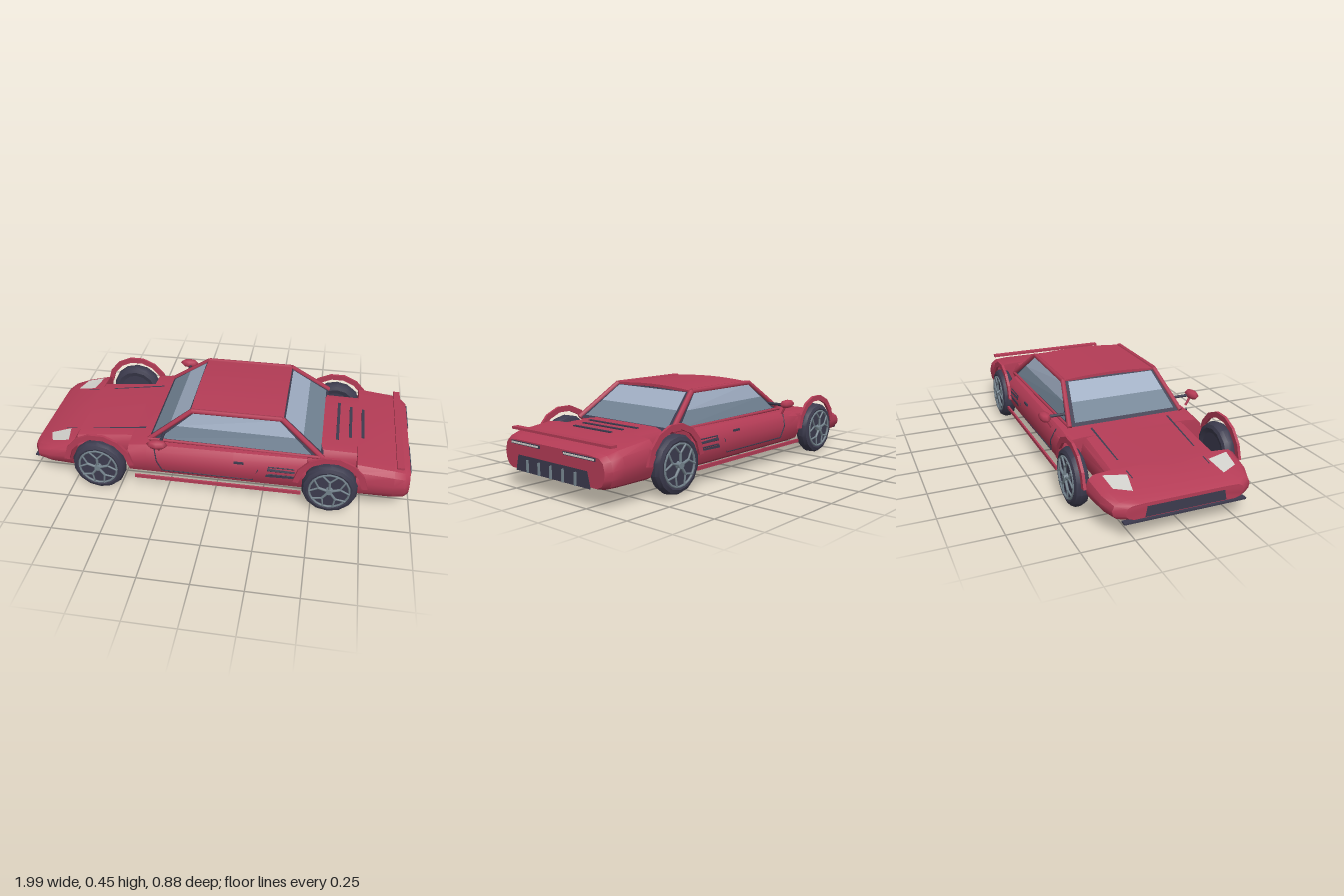
import * as THREE from 'three';
import { toCreasedNormals } from 'three/addons/utils/BufferGeometryUtils.js';

const V = (x, y, z) => new THREE.Vector3(x, y, z);

export function createModel() {
  const car = new THREE.Group();
  car.name = 'car';
  const mat = (name, color, side = THREE.DoubleSide) =>
    Object.assign(new THREE.MeshStandardMaterial({ color, side }), { name });
  const red = mat('red paint', 0xb43c56);
  const dark = mat('dark trim', 0x3c3b4e);
  const glassLight = mat('upper glass', 0x9fadc2);
  const glassDark = mat('lower glass', 0x728394);
  const metal = mat('wheel metal', 0x75848e);
  const lamp = mat('lamp', 0xd2d1cc);

  const add = (name, geo, material, parent = car) => {
    const mesh = new THREE.Mesh(geo, material);
    mesh.name = name;
    parent.add(mesh);
    return mesh;
  };
  const box = (name, w, h, d, x, y, z, m, parent) =>
    add(name, new THREE.BoxGeometry(w, h, d).translate(x, y, z), m, parent);
  const rod = (name, a, b, r, m, parent, sides = 6) => {
    const d = b.clone().sub(a);
    const mesh = add(name, new THREE.CylinderGeometry(r, r, d.length(), sides), m, parent);
    mesh.position.copy(a).addScaledVector(d, 0.5);
    mesh.quaternion.setFromUnitVectors(V(0, 1, 0), d.normalize());
    return mesh;
  };
  const quad = (name, p, m) => {
    const geo = new THREE.BufferGeometry().setFromPoints([p[0], p[1], p[2], p[0], p[2], p[3]]);
    geo.computeVertexNormals();
    return add(name, geo, m);
  };

  // Body shell: one rounded section carried along x, stepping in at the wheels
  const section = [[0, 1], [0.72, 1], [0.9, 0.96], [0.97, 0.82], [1, 0.55], [0.985, 0.3], [0.94, 0.1], [0.85, 0], [0, 0]];
  const ring = [...section, ...section.slice(1, -1).reverse().map(([z, y]) => [-z, y])];
  const stations = [ // x, half width, bottom, top
    [-0.985, 0.29, 0.095, 0.165], [-0.955, 0.34, 0.09, 0.178], [-0.88, 0.368, 0.09, 0.198], [-0.757, 0.382, 0.09, 0.225],
    [-0.756, 0.285, 0.09, 0.225], [-0.451, 0.285, 0.09, 0.26],
    [-0.45, 0.38, 0.09, 0.26], [-0.35, 0.382, 0.09, 0.275], [0.1, 0.388, 0.09, 0.282], [0.469, 0.39, 0.09, 0.288],
    [0.47, 0.285, 0.09, 0.288], [0.714, 0.285, 0.09, 0.283],
    [0.715, 0.39, 0.09, 0.283], [0.9, 0.387, 0.09, 0.262], [0.955, 0.375, 0.09, 0.246], [0.98, 0.35, 0.095, 0.235],
  ];
  const pos = [], idx = [], n = ring.length, last = (stations.length - 1) * n;
  stations.forEach(([x, w, lo, hi], i) => {
    ring.forEach(([z, y], j) => {
      pos.push(x, lo + (hi - lo) * y, z * w);
      if (i === stations.length - 1) return;
      const a = i * n + j, b = i * n + (j + 1) % n;
      idx.push(a, b, a + n, b, b + n, a + n);
    });
  });
  for (let j = 1; j < n - 1; j++) idx.push(0, j + 1, j, last, last + j, last + j + 1);
  const shell = new THREE.BufferGeometry();
  shell.setAttribute('position', new THREE.Float32BufferAttribute(pos, 3));
  shell.setIndex(idx);
  add('body', toCreasedNormals(shell, 0.6), red);

  // Height of the body top at x, and half width of the flank at height y
  const interp = (pts, t) => {
    const k = Math.max(1, pts.findIndex(p => p[0] >= t));
    const [a, b] = [pts[k - 1], pts[k]];
    return a[1] + (b[1] - a[1]) * (t - a[0]) / (b[0] - a[0]);
  };
  const topY = x => interp(stations.map(s => [s[0], s[3]]), x);
  const flank = section.slice(1, -1).reverse().map(([z, y]) => [0.09 + 0.192 * y, z * 0.388]);
  const sideZ = y => interp(flank, y);

  // Cabin: dark frame faces with two-tone glass laid over them
  const B = (x, s, w) => V(x, 0.275, s * w), T = (x, s) => V(x, 0.44, s * 0.258);
  const FB = s => B(-0.35, s, 0.305), RB = s => B(0.545, s, 0.325);
  const FT = s => T(-0.13, s), RT = s => T(0.33, s);
  const faces = {
    windscreen: [FB(-1), FB(1), FT(1), FT(-1)],
    rearWindow: [RB(1), RB(-1), RT(-1), RT(1)],
    leftWindow: [FB(1), RB(1), RT(1), FT(1)],
    rightWindow: [RB(-1), FB(-1), FT(-1), RT(-1)],
  };
  for (const [name, [a, b, c, d]] of Object.entries(faces)) {
    const out = b.clone().sub(a).cross(d.clone().sub(a)).normalize().multiplyScalar(0.004);
    const at = (u, v) => a.clone().lerp(b, u).lerp(d.clone().lerp(c, u), v).add(out);
    const pane = (v0, v1) => [at(0.05, v0), at(0.95, v0), at(0.95, v1), at(0.05, v1)];
    quad(name + 'Frame', [a, b, c, d], dark);
    quad(name + 'Lower', pane(0.07, 0.5), glassDark);
    quad(name + 'Upper', pane(0.5, 0.95), glassLight);
  }
  const roof = new THREE.BoxGeometry(0.47, 0.014, 0.53, 4, 1, 8);
  const rp = roof.attributes.position;
  for (let i = 0; i < rp.count; i++) rp.setY(i, rp.getY(i) + 0.014 * (1 - (rp.getZ(i) / 0.265) ** 2));
  roof.translate(0.1, 0.435, 0);
  roof.computeVertexNormals();
  add('roof', roof, red);

  for (const s of [1, -1]) {
    const P = (x, y, off = 0.003) => V(x, y, s * (sideZ(y) + off));
    // Pillars and roof rails
    rod('windscreenPillar', FB(s), FT(s), 0.013, red);
    rod('rearPillar', RB(s), RT(s), 0.014, red);
    rod('roofRail', FT(s), RT(s), 0.013, red);
    rod('windowSill', V(-0.35, 0.28, s * 0.31), V(0.53, 0.282, s * 0.33), 0.008, red);

    // Door seam, handle and skirt
    const seam = [[-0.31, 0.262], [-0.295, 0.2], [-0.27, 0.135], [0.2, 0.135], [0.225, 0.2], [0.245, 0.262]];
    for (let i = 1; i < seam.length; i++) rod('doorSeam', P(...seam[i - 1], 0), P(...seam[i], 0), 0.003, dark);
    box('doorHandle', 0.05, 0.01, 0.008, 0.13, 0.236, s * (sideZ(0.236) + 0.003), dark);
    box('sideSkirt', 0.86, 0.018, 0.01, 0.02, 0.1, s * 0.398, red);

    // Side intake with slats
    quad('intakeLower', [P(0.267, 0.17), P(0.417, 0.175), P(0.414, 0.215), P(0.275, 0.215)], dark);
    quad('intakeUpper', [P(0.275, 0.215), P(0.414, 0.215), P(0.41, 0.262), P(0.285, 0.255)], dark);
    for (const y of [0.19, 0.21, 0.23]) rod('intakeSlat', P(0.28, y), P(0.41, y), 0.003, dark);

    // Mirror on a dark arm
    rod('mirrorArm', V(-0.27, 0.316, s * 0.28), V(-0.27, 0.316, s * 0.4), 0.008, dark);
    rod('mirrorStalk', V(-0.28, 0.265, s * 0.375), V(-0.28, 0.32, s * 0.405), 0.007, red);
    const mirror = add('mirror', new THREE.SphereGeometry(1, 8, 4), red);
    mirror.scale.set(0.055, 0.023, 0.029);
    mirror.position.set(-0.28, 0.322, s * 0.409);

    // Headlamp and bonnet seam
    const H = (x, z) => V(x, topY(x) + 0.005, s * z);
    quad('headlamp', [H(-0.915, 0.225), H(-0.88, 0.305), H(-0.785, 0.315), H(-0.81, 0.205)], lamp);
    quad('bonnetSeam', [H(-0.84, 0.19), H(-0.84, 0.195), H(-0.39, 0.213), H(-0.39, 0.202)], dark);

    // Tail lamp strip
    box('tailLampSurround', 0.008, 0.015, 0.21, 0.981, 0.221, s * 0.19, dark);
    box('tailLamp', 0.008, 0.008, 0.2, 0.984, 0.221, s * 0.19, lamp);

    for (const x of [-0.6, 0.59]) {
      // Free-standing arch strip
      const arch = new THREE.Shape();
      const r0 = 0.158, r1 = 0.187, steps = 7;
      for (let i = 0; i <= steps; i++) {
        const t = 0.1 + (Math.PI - 0.2) * i / steps;
        arch[i ? 'lineTo' : 'moveTo'](r1 * Math.cos(t), r1 * Math.sin(t));
      }
      for (let i = steps; i >= 0; i--) {
        const t = 0.1 + (Math.PI - 0.2) * i / steps;
        arch.lineTo(r0 * Math.cos(t), r0 * Math.sin(t));
      }
      const flare = new THREE.ExtrudeGeometry(arch, { depth: 0.014, bevelEnabled: false });
      add('wheelArch', flare.translate(x, 0.148, s * 0.395 - 0.007), red);

      // Wheel: tyre, dark hub, rim and five forked spokes
      const wheel = new THREE.Group();
      wheel.name = 'wheel';
      wheel.position.set(x, 0.145, s * 0.383);
      if (s < 0) wheel.rotation.y = Math.PI;
      car.add(wheel);
      const profile = [[0.09, -0.03], [0.115, -0.037], [0.132, -0.03], [0.141, -0.012], [0.141, 0.012], [0.132, 0.03], [0.115, 0.037], [0.095, 0.03]];
      const tyre = new THREE.LatheGeometry(profile.map(p => new THREE.Vector2(...p)), 14).rotateX(Math.PI / 2);
      add('tyre', toCreasedNormals(tyre, 0.5), dark, wheel);
      add('wheelWell', new THREE.CylinderGeometry(0.1, 0.1, 0.05, 14).rotateX(Math.PI / 2), dark, wheel);
      add('rim', new THREE.TorusGeometry(0.1, 0.006, 5, 20).translate(0, 0, 0.034), metal, wheel);
      add('hubCap', new THREE.CylinderGeometry(0.016, 0.02, 0.022, 10).rotateX(Math.PI / 2).translate(0, 0, 0.036), metal, wheel);
      for (let k = 0; k < 5; k++) {
        const t = Math.PI / 2 + k * Math.PI * 0.4;
        const at = (r, a) => V(r * Math.cos(a), r * Math.sin(a), 0.038);
        rod('spoke', at(0.01, t), at(0.06, t), 0.007, metal, wheel);
        for (const f of [-0.38, 0.38]) rod('spokeFork', at(0.055, t), at(0.1, t + f), 0.005, metal, wheel);
      }
    }
  }

  // Nose grille and splitter
  quad('noseGrille', [V(-0.989, 0.1, -0.2), V(-0.989, 0.1, 0.2), V(-0.988, 0.15, 0.19), V(-0.988, 0.15, -0.19)], dark);
  box('splitter', 0.03, 0.008, 0.6, -0.98, 0.088, 0, dark);

  // Engine cover slats
  [[0.61, 0.17], [0.675, 0.14], [0.74, 0.13]].forEach(([x, w]) =>
    box('deckSlat', 0.015, 0.008, 2 * w, x, topY(x) + 0.001, 0, dark));

  // Tail lip and rear diffuser with fins
  box('tailLip', 0.035, 0.012, 0.7, 0.925, 0.275, 0, red);
  quad('diffuser', [V(0.985, 0.088, 0.265), V(0.985, 0.088, -0.265), V(0.985, 0.165, -0.245), V(0.985, 0.165, 0.245)], dark);
  for (let k = -2; k <= 2; k++) box('diffuserFin', 0.012, 0.06, 0.006, 0.99, 0.12, k * 0.085, metal);

  return car;
}
